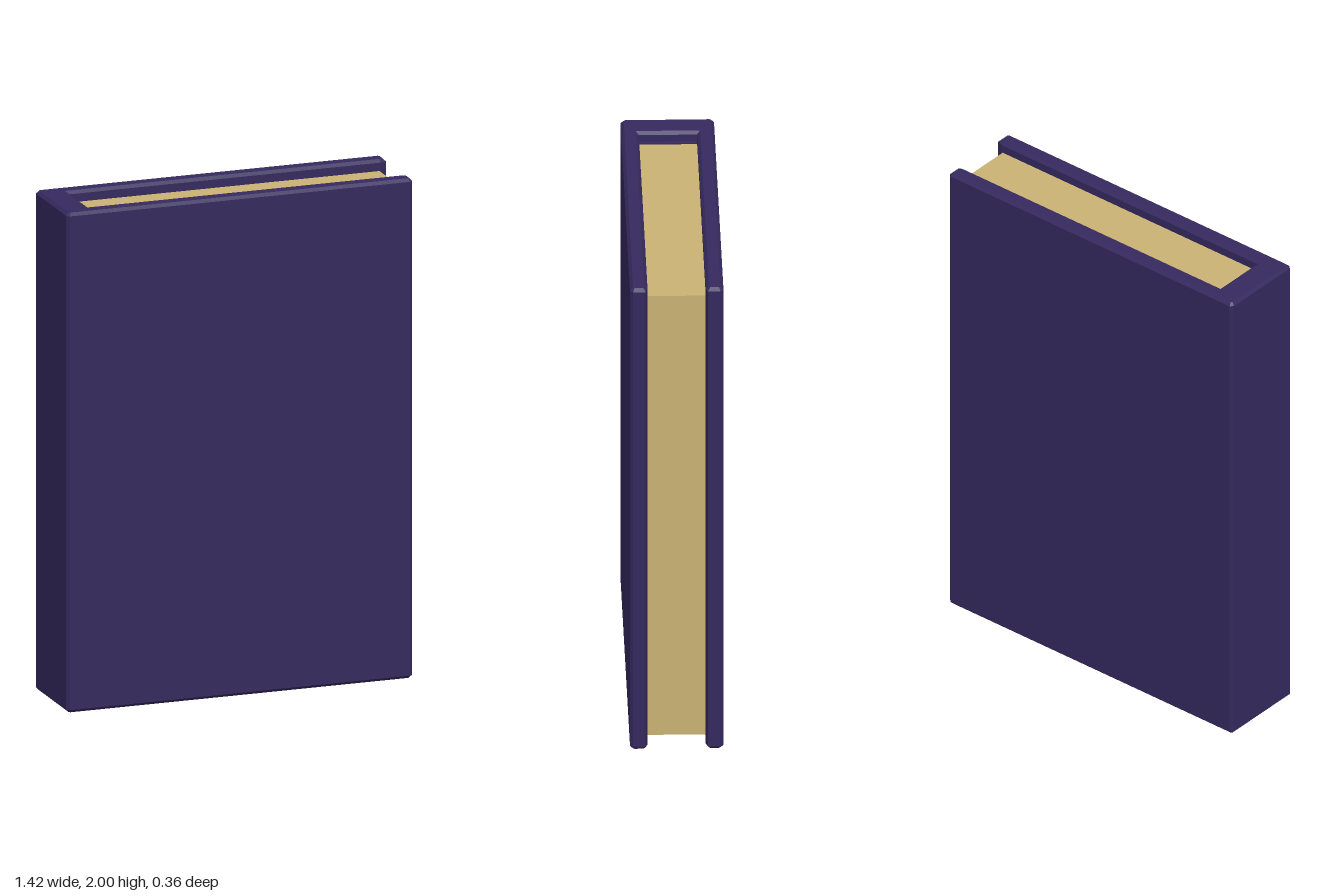
import * as THREE from 'three';

export function createModel() {
  const book = new THREE.Group();
  book.name = 'book';
  const clothMaterial = new THREE.MeshStandardMaterial({ color: 0x35295e, flatShading: true });
  const paperMaterial = new THREE.MeshStandardMaterial({ color: 0xcab274, flatShading: true });

  const W = 0.71, T = 0.18, inner = 0.112, spine = -0.595, bevel = 0.012, c = 0.012;

  // Cover: C-shaped cross-section with chamfered corners, extruded upwards
  const half = [
    [spine, inner], [W - 0.025, inner], [W, inner + 0.008],
    [W, T - c], [W - c, T], [-W + c, T], [-W, T - c],
  ];
  const mirrored = half.map(([x, z]) => [x, -z]).reverse();
  const outline = [...half, ...mirrored].map(([x, z]) => new THREE.Vector2(x, z));
  const coverGeometry = new THREE.ExtrudeGeometry(new THREE.Shape(outline), {
    depth: 2 - 2 * bevel,
    bevelEnabled: true,
    bevelThickness: bevel,
    bevelSize: bevel,
    bevelOffset: -bevel,
    bevelSegments: 1,
  });
  coverGeometry.rotateX(-Math.PI / 2).translate(0, bevel, 0);
  const cover = new THREE.Mesh(coverGeometry, clothMaterial);
  cover.name = 'cover';
  book.add(cover);

  const addBlock = (name, x0, x1, y0, y1, depth, material) => {
    const mesh = new THREE.Mesh(new THREE.BoxGeometry(x1 - x0, y1 - y0, depth), material);
    mesh.position.set((x0 + x1) / 2, (y0 + y1) / 2, 0);
    mesh.name = name;
    book.add(mesh);
  };

  // Page block, and the cloth lining that joins it to the spine
  addBlock('pages', -0.58, 0.68, 0.05, 1.955, 2 * inner, paperMaterial);
  addBlock('spineLining', spine - 0.01, -0.579, 0.045, 1.96, 2 * inner, clothMaterial);

  return book;
}
